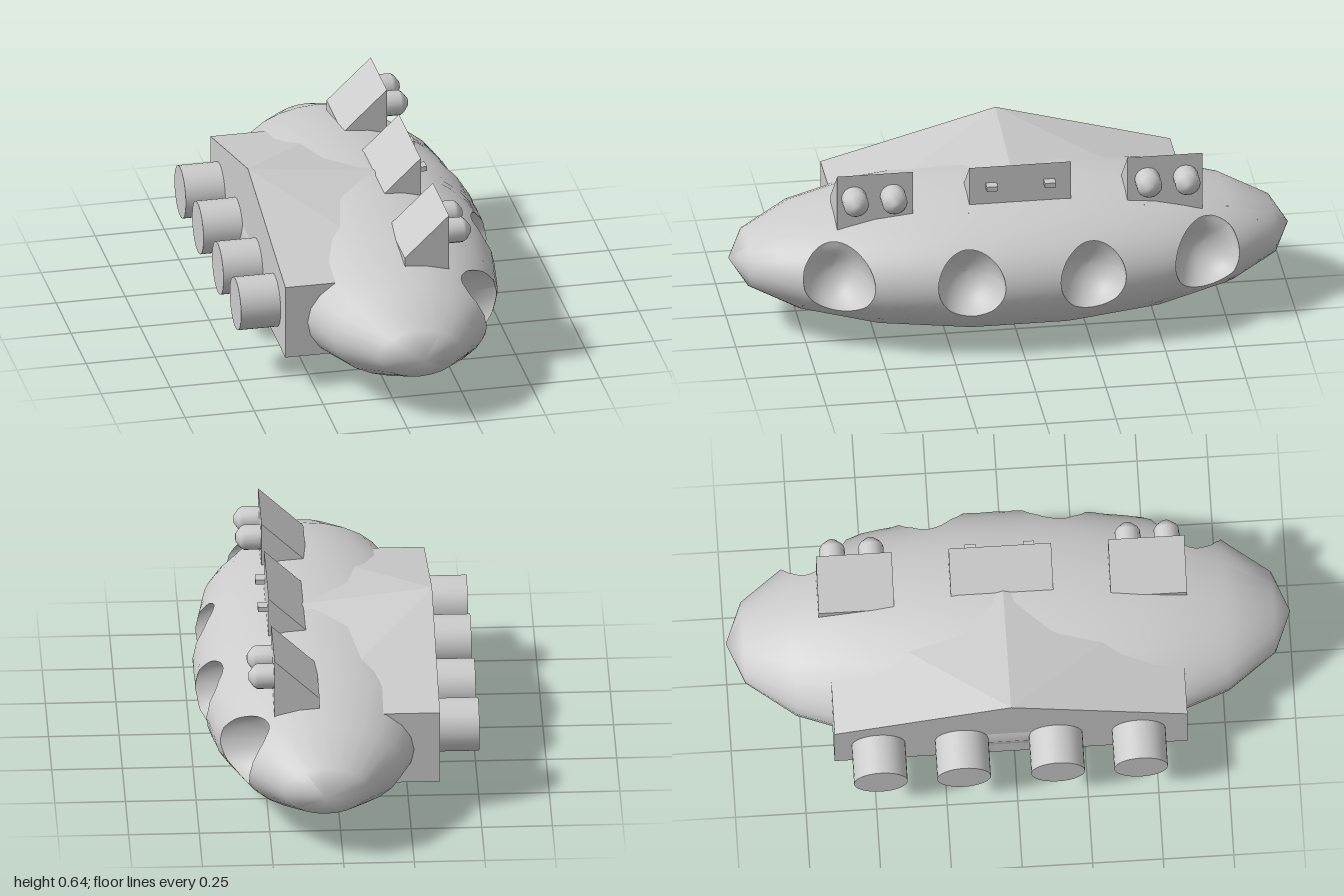
import * as THREE from 'three';
import { mergeGeometries } from 'three/addons/utils/BufferGeometryUtils.js';
import { ConvexGeometry } from 'three/addons/geometries/ConvexGeometry.js';

const material = new THREE.MeshStandardMaterial({ color: 0xcccccc });
const RAD = Math.PI / 180;
const CENTRE = new THREE.Vector3(0.06, 0.265, 0);
const RADII = new THREE.Vector3(0.435, 0.2625, 1);
const U0 = -45, U1 = 60; // strip of the hull side that holds the craters

function addMesh(parent, name, geometry) {
  const mesh = new THREE.Mesh(geometry, material);
  mesh.name = name;
  parent.add(mesh);
  return mesh;
}

// Surface from fn(s, t), with s and t running 0..1
function grid(fn, ns, nt) {
  const pos = [], index = [];
  for (let i = 0; i <= ns; i++) {
    for (let j = 0; j <= nt; j++) {
      pos.push(...fn(i / ns, j / nt).toArray());
      if (i === ns || j === nt) continue;
      const a = i * (nt + 1) + j, b = a + nt + 1;
      index.push(a, b, b + 1, a, b + 1, a + 1);
    }
  }
  const g = new THREE.BufferGeometry();
  g.setAttribute('position', new THREE.Float32BufferAttribute(pos, 3));
  g.setIndex(index);
  g.computeVertexNormals();
  return g;
}

const ellipsoid = (v, u) => new THREE.Vector3(
  Math.sin(v * RAD) * Math.cos(u * RAD),
  Math.sin(v * RAD) * Math.sin(u * RAD),
  Math.cos(v * RAD)).multiply(RADII).add(CENTRE);

// Faceted hull: 15 degree steps around, 20 degree steps from tip to tip
function hullPoint(v, u) {
  const v0 = Math.min(Math.floor(v / 20 + 1e-6) * 20, 160), u0 = Math.floor(u / 15 + 1e-6) * 15;
  const fv = (v - v0) / 20, fu = (u - u0) / 15;
  const near = ellipsoid(v0, u0).lerp(ellipsoid(v0, u0 + 15), fu);
  return near.lerp(ellipsoid(v0 + 20, u0).lerp(ellipsoid(v0 + 20, u0 + 15), fu), fv);
}

// Give hull patches the smooth normals of the full ellipsoid
function smoothHull(g) {
  const p = g.attributes.position, n = new THREE.Vector3();
  for (let i = 0; i < p.count; i++) {
    n.fromBufferAttribute(p, i).sub(CENTRE).divide(RADII).divide(RADII).normalize();
    g.attributes.normal.setXYZ(i, n.x, n.y, n.z);
  }
  return g;
}

const hullPatch = (v0, v1, u0, u1, nv, nu) => smoothHull(grid(
  (s, t) => hullPoint(v0 + (v1 - v0) * s, u0 + (u1 - u0) * t), nv, nu));

function buildHull() {
  const hull = new THREE.Group();
  hull.name = 'hull';
  const y = 0.292, r = 0.121, around = 48;
  const parts = [
    hullPatch(0, 180, U1, 360 + U0, 9, 17),
    hullPatch(0, 30, U0, U1, 3, 7),
    hullPatch(152, 180, U0, U1, 7, 7),
  ];
  // crater centre z, then the band of hull each one sits in
  for (const [z, v0, v1] of [[0.65, 30, 64], [0.19, 64, 92], [-0.25, 92, 116], [-0.675, 116, 152]]) {
    const rimAngles = (a) => {
      const v = Math.acos(z - r * Math.cos(a));
      const u = Math.asin((y + r * Math.sin(a) - CENTRE.y) / (RADII.y * Math.sin(v)));
      return [v / RAD, u / RAD];
    };
    // skin between the round rim and the edge of the band
    parts.push(smoothHull(grid((s, t) => {
      const a = t * Math.PI * 2, c = Math.cos(a), d = Math.sin(a);
      const m = Math.max(Math.abs(c), Math.abs(d));
      const [rv, ru] = rimAngles(a);
      const ev = (v0 + v1) / 2 + (v1 - v0) / 2 * c / m;
      const eu = (U0 + U1) / 2 + (U1 - U0) / 2 * d / m;
      return hullPoint(rv + (ev - rv) * s, ru + (eu - ru) * s);
    }, 8, around)));
    // round bowl
    let mean = 0;
    for (let i = 0; i < around; i++) mean += hullPoint(...rimAngles(i / around * Math.PI * 2)).x / around;
    addMesh(hull, 'crater', grid((s, t) => {
      const a = t * Math.PI * 2, k = Math.sin(s * Math.PI / 2);
      const rim = hullPoint(...rimAngles(a));
      return new THREE.Vector3(
        mean + (rim.x - mean) * k ** 4 - r * 0.95 * Math.cos(s * Math.PI / 2),
        y + (rim.y - y) * k, z + (rim.z - z) * k);
    }, 10, around));
  }
  addMesh(hull, 'hullSkin', mergeGeometries(parts));
  return hull;
}

// Engine housing with a ridged roof that sinks into the hull
function buildHousing(parent) {
  const points = [];
  for (const [x, ridge] of [[-0.357, 0.58], [0.12, 0.523]]) {
    for (const z of [-0.64, 0.61]) {
      points.push(new THREE.Vector3(x, 0.135, z), new THREE.Vector3(x, 0.41, z));
    }
    points.push(new THREE.Vector3(x, ridge, -0.015));
  }
  addMesh(parent, 'engineHousing', new ConvexGeometry(points));
}

// Wedge-shaped turret on the roof, from z0 to z1
function buildTurret(z0, z1) {
  const turret = new THREE.Group();
  turret.name = 'turret';
  const profile = new THREE.Shape([[0.23, 0.645], [0.07, 0.493], [0.07, 0.38], [0.23, 0.38]]
    .map(([x, y]) => new THREE.Vector2(x, y)));
  const wedge = new THREE.ExtrudeGeometry(profile, { depth: z1 - z0, bevelEnabled: false });
  addMesh(turret, 'wedge', wedge.translate(0, 0, z0));
  return turret;
}

export function createModel() {
  const model = new THREE.Group();
  model.name = 'ship';
  model.add(buildHull());
  buildHousing(model);

  // Engines
  const engine = new THREE.CylinderGeometry(0.095, 0.095, 0.2, 32).rotateZ(Math.PI / 2);
  for (const z of [-0.485, -0.19, 0.143, 0.437]) {
    addMesh(model, 'engine', engine).position.set(-0.4, 0.28, z);
  }

  // End turrets with paired round-nosed barrels
  const barrel = new THREE.LatheGeometry(
    [[0.045, 0], [0.045, 0.06], [0.037, 0.073], [0.014, 0.09], [0, 0.091]]
      .map(([x, y]) => new THREE.Vector2(x, y)), 16).rotateZ(-Math.PI / 2);
  for (const [z0, z1, guns] of [[0.365, 0.635, [0.575, 0.437]], [-0.67, -0.402, [-0.473, -0.61]]]) {
    const turret = buildTurret(z0, z1);
    for (const z of guns) addMesh(turret, 'barrel', barrel).position.set(0.229, 0.556, z);
    model.add(turret);
  }

  // Middle turret with two small lamps
  const middle = buildTurret(-0.2, 0.163);
  for (const z of [0.085, -0.122]) {
    addMesh(middle, 'lamp', new THREE.BoxGeometry(0.05, 0.018, 0.04)).position.set(0.24, 0.573, z);
  }
  model.add(middle);
  return model;
}
